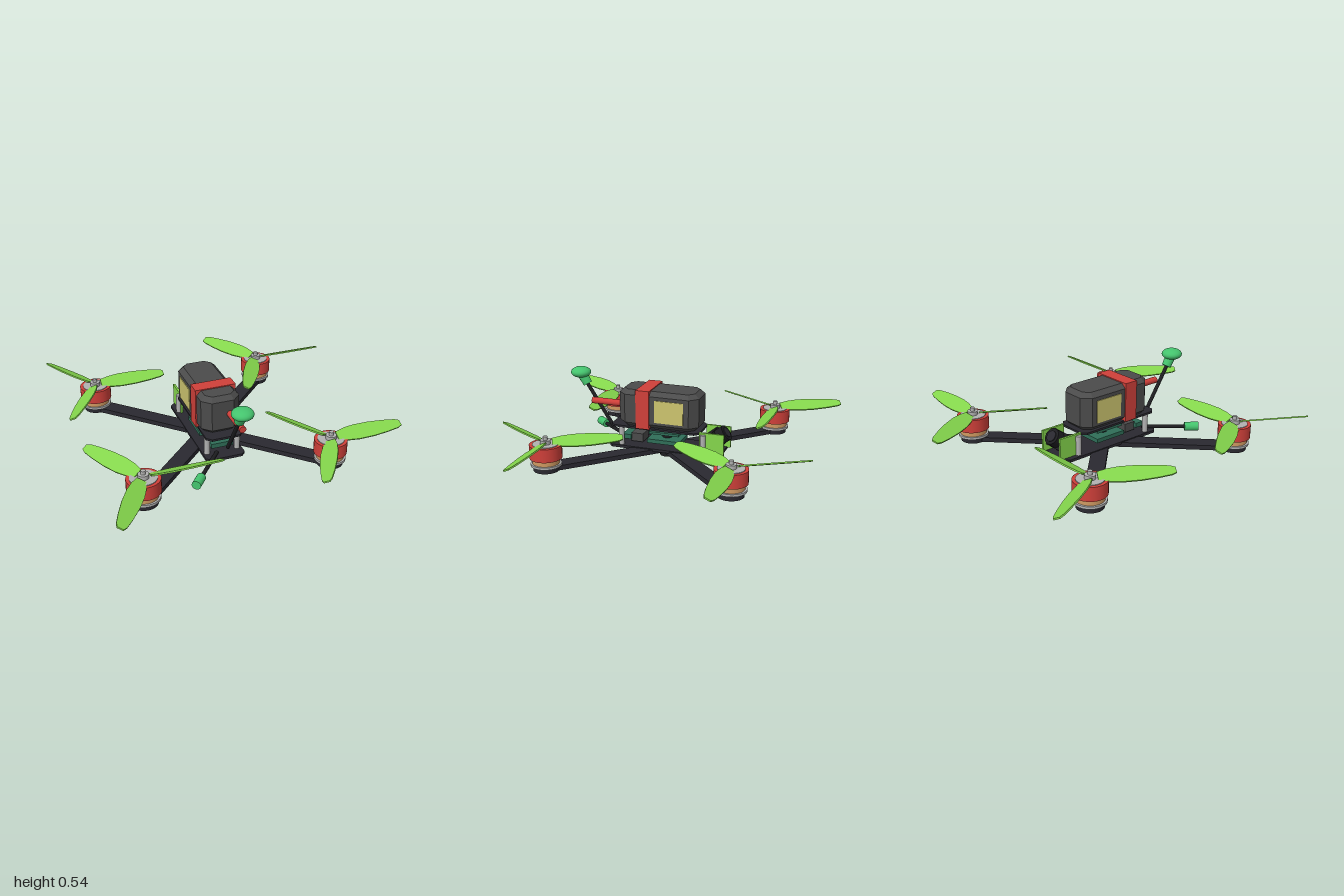
import * as THREE from 'three';

const mat = (name, color, flatShading = false) => {
  const m = new THREE.MeshStandardMaterial({ color, flatShading });
  m.name = name;
  return m;
};

export function createModel() {
  const lime = mat('lime plastic', 0x84d64c, true);
  const red = mat('red', 0xd0403a);
  const grey = mat('battery grey', 0x4b4b4b);
  const carbon = mat('carbon fibre', 0x2a2930);
  const black = mat('black plastic', 0x1d1d20);
  const silver = mat('aluminium', 0xb2b2b2);
  const copper = mat('copper', 0xcf9a62);
  const yellow = mat('yellow label', 0xccc46e);
  const board = mat('circuit green', 0x2f6e58);
  const mint = mat('antenna green', 0x45c46e);

  const root = new THREE.Group();
  root.name = 'racingDrone';
  const CX = -0.1125; // middle of the body

  const add = (parent, name, geo, material, x = 0, y = 0, z = 0) => {
    const m = new THREE.Mesh(geo, material);
    m.name = name;
    m.position.set(x, y, z);
    parent.add(m);
    return m;
  };
  // box given by its size and its lowest y
  const box = (parent, name, material, w, h, d, x, y, z) =>
    add(parent, name, new THREE.BoxGeometry(w, h, d), material, x, y + h / 2, z);
  // upright cylinder from y0 to y1
  const disc = (parent, name, material, r, y0, y1, x = 0, z = 0, sides = 28) =>
    add(parent, name, new THREE.CylinderGeometry(r, r, y1 - y0, sides), material, x, (y0 + y1) / 2, z);
  // cylinder between two points
  const rod = (parent, name, material, a, b, r0, r1 = r0) => {
    const p = new THREE.Vector3(...a), q = new THREE.Vector3(...b);
    const dir = q.clone().sub(p);
    const m = add(parent, name, new THREE.CylinderGeometry(r1, r0, dir.length(), 18), material);
    m.position.copy(p).add(q).multiplyScalar(0.5);
    m.quaternion.setFromUnitVectors(new THREE.Vector3(0, 1, 0), dir.normalize());
    return m;
  };

  // Pitched blade: a thin box whose chord follows a short list of stations
  const stations = [[0.04, 0.055], [0.1, 0.085], [0.17, 0.1], [0.27, 0.098], [0.37, 0.08], [0.445, 0.058], [0.472, 0.035]];
  const makeBlade = (pitch) => {
    const n = stations.length - 1;
    const g = new THREE.BoxGeometry(1, 0.009, 1, n, 1, 1);
    const p = g.attributes.position;
    for (let i = 0; i < p.count; i++) {
      const [r, chord] = stations[Math.round((p.getX(i) + 0.5) * n)];
      p.setX(i, r);
      p.setZ(i, p.getZ(i) * chord * 1.06);
    }
    g.rotateX(pitch);
    g.computeVertexNormals();
    return g;
  };

  // Arms, motors and propellers at the four corners
  for (const sx of [-1, 1]) for (const sz of [-1, 1]) {
    const corner = new THREE.Group();
    corner.name = (sz > 0 ? 'front' : 'back') + (sx > 0 ? 'Left' : 'Right') + 'Rotor';
    corner.position.set(CX + sx * 0.5775, 0, sz * 0.58);
    root.add(corner);

    const arm = box(root, 'arm', carbon, 0.82, 0.03, 0.1, CX + sx * 0.289, 0.036, sz * 0.29);
    arm.rotation.y = -Math.atan2(sz, sx);
    disc(corner, 'armEnd', carbon, 0.08, 0.035, 0.067);

    disc(corner, 'motorBase', silver, 0.095, 0.067, 0.082);
    disc(corner, 'motorWindings', copper, 0.083, 0.08, 0.118);
    disc(corner, 'motorBell', red, 0.1, 0.115, 0.2);
    disc(corner, 'motorCap', silver, 0.08, 0.198, 0.204);
    disc(corner, 'propellerHub', silver, 0.032, 0.2, 0.228);
    disc(corner, 'motorShaft', silver, 0.014, 0.2, 0.25, 0, 0, 14);

    const blade = makeBlade(sx * sz < 0 ? -0.42 : 0.42);
    for (let i = 0; i < 3; i++) {
      add(corner, 'propellerBlade', blade, lime, 0, 0.212, 0).rotation.y = i * Math.PI * 2 / 3;
    }
  }

  // Frame plates, with cut corners on the lower one
  const plate = (name, w, z0, z1, cut, y, h) => {
    const a = w / 2;
    const s = new THREE.Shape([
      [-a + cut, -z1], [a - cut, -z1], [a, -z1 + cut], [a, -z0 - cut],
      [a - cut, -z0], [-a + cut, -z0], [-a, -z0 - cut], [-a, -z1 + cut],
    ].map(([x, v]) => new THREE.Vector2(x, v)));
    const g = new THREE.ExtrudeGeometry(s, { depth: h, bevelEnabled: false });
    g.rotateX(-Math.PI / 2);
    return add(root, name, g, carbon, CX, y, 0);
  };
  plate('bottomPlate', 0.25, -0.38, 0.36, 0.025, 0.055, 0.017);
  plate('topPlate', 0.235, -0.245, 0.35, 0.03, 0.192, 0.013);
  disc(root, 'centreBolt', black, 0.05, 0, 0.04, CX, 0, 8);
  disc(root, 'stackMount', black, 0.03, 0.07, 0.2, CX, 0, 16);

  // Standoffs and camera cage
  for (const side of [-1, 1]) {
    for (const z of [-0.268, 0.278]) disc(root, 'standoff', silver, 0.018, 0.07, 0.195, CX + side * 0.097, z, 14);
    box(root, 'cameraSidePlate', lime, 0.014, 0.14, 0.16, CX + side * 0.084, 0.067, -0.322);
  }

  // Tilted camera
  const camera = new THREE.Group();
  camera.name = 'camera';
  camera.position.set(CX, 0.14, -0.325);
  camera.rotation.x = -0.9;
  root.add(camera);
  box(camera, 'cameraBody', black, 0.14, 0.08, 0.11, 0, -0.045, 0);
  disc(camera, 'cameraLensBarrel', black, 0.052, 0.03, 0.09);
  disc(camera, 'cameraLens', carbon, 0.034, 0.088, 0.096);

  // Electronics stack
  box(root, 'powerBoard', board, 0.17, 0.026, 0.22, CX, 0.095, 0);
  box(root, 'flightBoard', board, 0.15, 0.016, 0.2, CX, 0.153, 0);
  box(root, 'videoTransmitter', grey, 0.1, 0.055, 0.08, CX, 0.082, 0.19);
  box(root, 'transmitterBoard', board, 0.14, 0.03, 0.06, CX, 0.1, 0.255);

  // Battery: chamfered block, strap, labels and lead
  const bx = -0.1125, hw = 0.092, hz = 0.235, c = 0.035;
  const outline = new THREE.Shape([
    [-hw + c, -hz], [hw - c, -hz], [hw, -hz + c], [hw, hz - c],
    [hw - c, hz], [-hw + c, hz], [-hw, hz - c], [-hw, -hz + c],
  ].map(([x, v]) => new THREE.Vector2(x, v)));
  const packGeo = new THREE.ExtrudeGeometry(outline, {
    depth: 0.186, bevelEnabled: true, bevelThickness: 0.028, bevelSize: 0.03, bevelSegments: 1,
  });
  packGeo.rotateX(-Math.PI / 2);
  add(root, 'battery', packGeo, grey, bx, 0.232, 0.033);
  box(root, 'batteryStrap', red, 0.258, 0.252, 0.09, bx, 0.2, 0.125);
  for (const side of [-1, 1]) box(root, 'batteryLabel', yellow, 0.008, 0.145, 0.19, bx + side * 0.123, 0.25, -0.05);
  rod(root, 'batteryLead', red, [-0.068, 0.33, 0.25], [-0.068, 0.33, 0.5], 0.021);

  // Upright video antenna
  rod(root, 'antennaMast', black, [CX, 0.15, 0.375], [CX, 0.44, 0.565], 0.012);
  rod(root, 'antennaCollar', mint, [CX, 0.425, 0.553], [CX, 0.49, 0.592], 0.03, 0.034);
  add(root, 'antennaHead', new THREE.SphereGeometry(0.066, 24, 14), mint, CX, 0.5, 0.6).scale.y = 0.54;

  // Low receiver antenna
  rod(root, 'receiverAntenna', black, [-0.155, 0.079, 0.3], [-0.34, 0.079, 0.53], 0.012);
  rod(root, 'receiverAntennaTip', mint, [-0.33, 0.079, 0.517], [-0.386, 0.079, 0.587], 0.028);

  return root;
}
